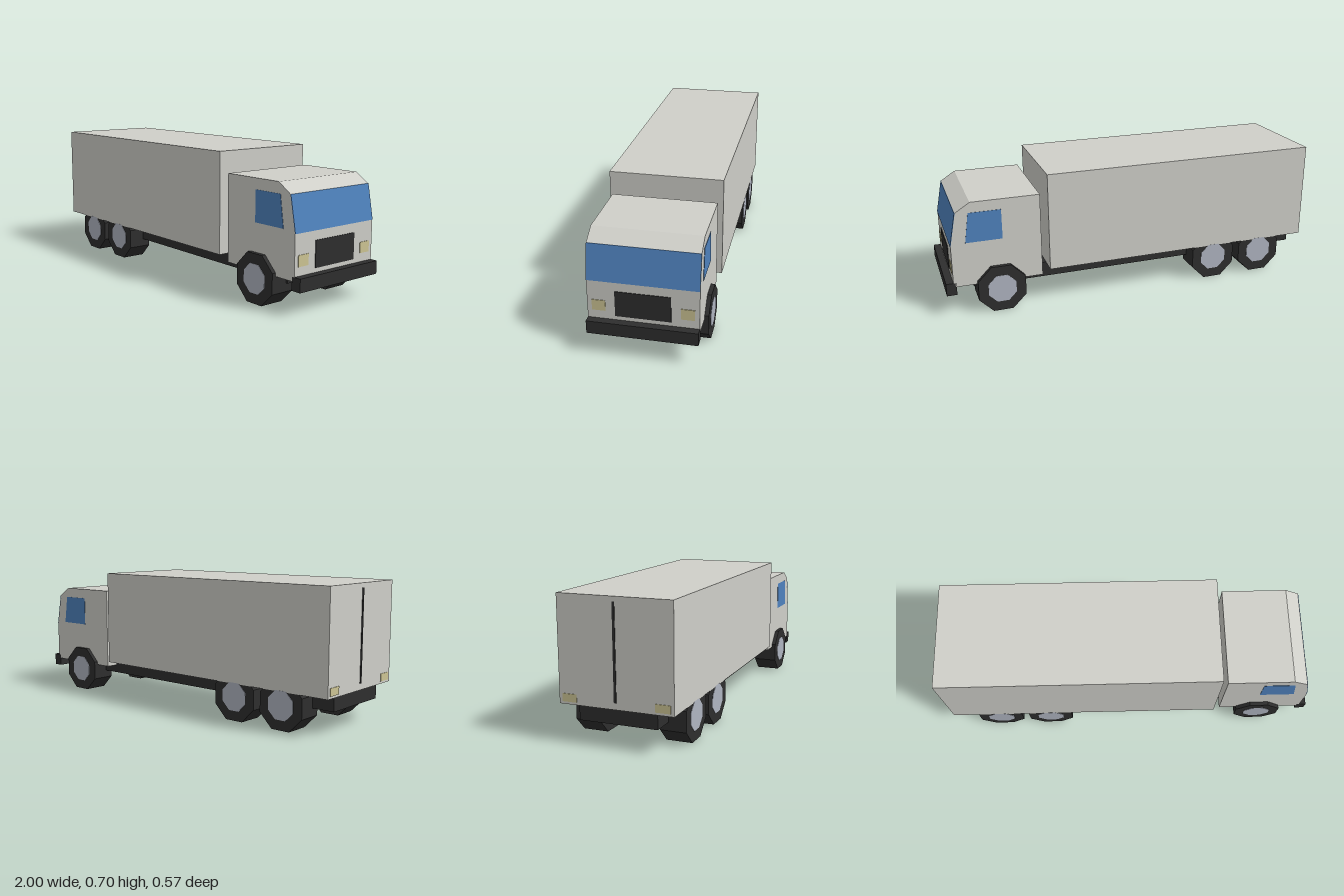
import * as THREE from 'three';

const mat = (name, color) => {
  const m = new THREE.MeshStandardMaterial({ color, flatShading: true });
  m.name = name;
  return m;
};

export function createModel() {
  const body = mat('bodyGrey', 0xcfcfc9);
  const dark = mat('darkTrim', 0x2e2e2e);
  const glass = mat('blueGlass', 0x4f82bd);
  const rim = mat('rimGrey', 0xb0b5c1);
  const lamp = mat('lampYellow', 0xcdc594);

  const truck = new THREE.Group();
  truck.name = 'truck';

  const add = (name, geometry, material, parent = truck) => {
    const mesh = new THREE.Mesh(geometry, material);
    mesh.name = name;
    parent.add(mesh);
    return mesh;
  };

  // Box given by its minimum and maximum on each axis
  const box = (name, material, [x0, x1], [y0, y1], [z0, z1]) =>
    add(name, new THREE.BoxGeometry(x1 - x0, y1 - y0, z1 - z0)
      .translate((x0 + x1) / 2, (y0 + y1) / 2, (z0 + z1) / 2), material);

  // Side outline in x and y, extruded from z0 to z1
  const slab = (name, material, points, z0, z1) => {
    const shape = new THREE.Shape(points.map(([x, y]) => new THREE.Vector2(x, y)));
    const geometry = new THREE.ExtrudeGeometry(shape, { depth: z1 - z0, bevelEnabled: false });
    return add(name, geometry.translate(0, 0, z0), material);
  };

  // Frame, cargo box and bumper
  box('chassis', dark, [-0.975, 0.855], [0.112, 0.19], [-0.195, 0.195]);
  box('cargoBox', body, [-0.997, 0.472], [0.188, 0.698], [-0.284, 0.284]);
  box('bumper', dark, [0.948, 1], [0.112, 0.177], [-0.262, 0.262]);

  // Cab with sloping windscreen
  slab('cab', body, [[0.508, 0.155], [0.963, 0.155], [0.963, 0.373], [0.93, 0.546],
    [0.855, 0.594], [0.508, 0.594]], -0.262, 0.262);
  slab('windscreen', glass, [[0.962, 0.373], [0.965, 0.373], [0.932, 0.546], [0.929, 0.546]],
    -0.2622, 0.2622);
  box('grille', dark, [0.962, 0.966], [0.198, 0.328], [-0.131, 0.131]);

  // Cargo door seam
  box('doorSeam', dark, [-1, -0.996], [0.22, 0.675], [-0.006, 0.006]);

  // Parts mirrored left and right
  for (const s of [-1, 1]) {
    const span = (a, b) => (s > 0 ? [a, b] : [-b, -a]);
    box('headlight', lamp, [0.962, 0.966], [0.22, 0.274], span(0.176, 0.24));
    box('tailLight', lamp, [-1, -0.996], [0.2, 0.238], span(0.195, 0.268));
    slab('sideWindow', glass, [[0.705, 0.385], [0.89, 0.385], [0.868, 0.54], [0.705, 0.54]],
      ...span(0.261, 0.264));

    // Eight-sided wheels standing on a flat side
    for (const x of [0.723, -0.455, -0.737]) {
      const wheel = new THREE.Group();
      wheel.name = 'wheel';
      wheel.position.set(x, 0.1215, 0);
      truck.add(wheel);
      const disc = (name, r, a, b, material) => add(name,
        new THREE.CylinderGeometry(r, r, b - a, 8, 1, false, Math.PI / 8)
          .rotateX(Math.PI / 2).translate(0, 0, s * (a + b) / 2), material, wheel);
      disc('tyre', 0.1315, 0.153, 0.2825, dark);
      disc('hub', 0.077, 0.28, 0.2845, rim);
    }
  }
  return truck;
}
